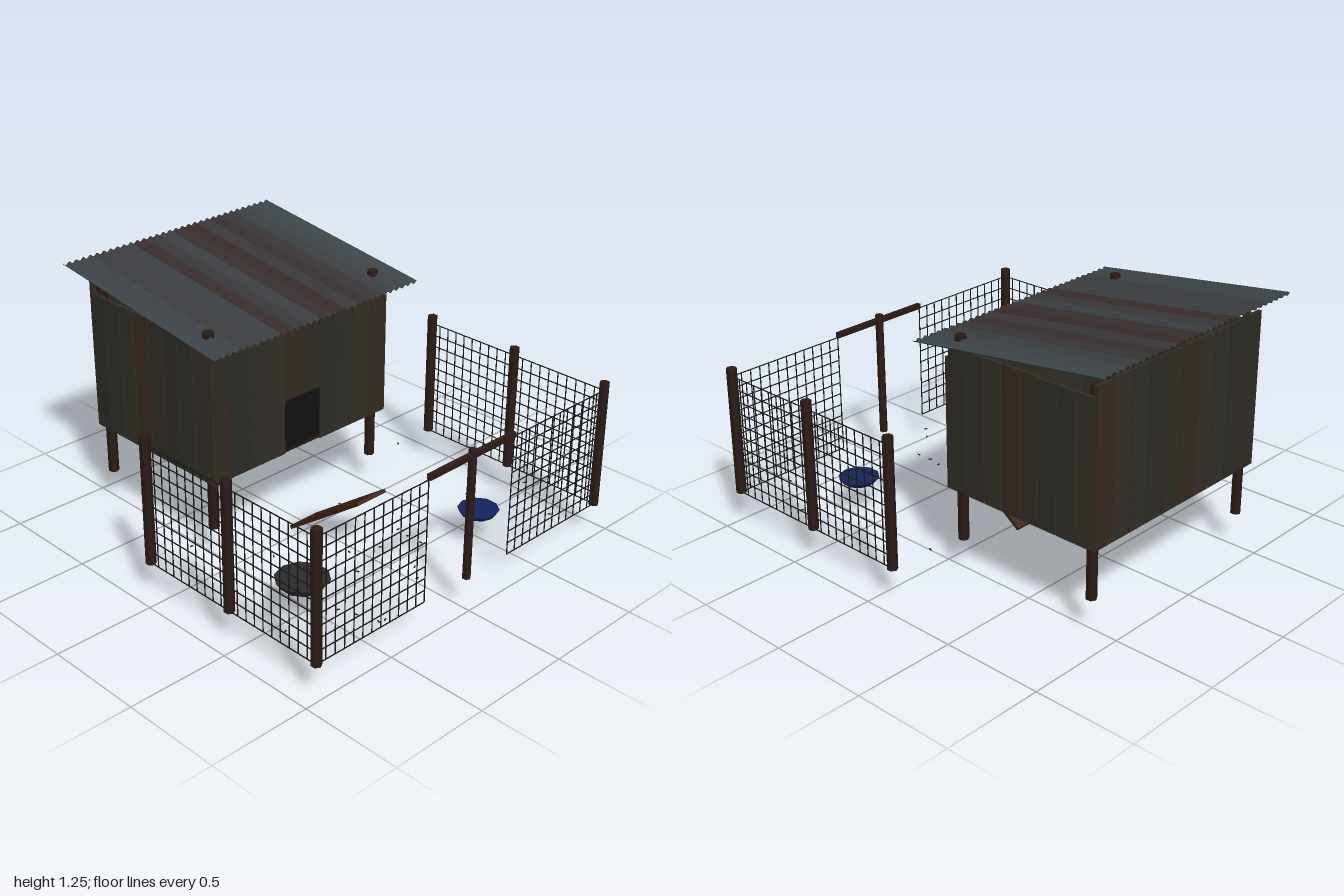
import * as THREE from 'three';
import { mergeGeometries } from 'three/addons/utils/BufferGeometryUtils.js';

const GROUND = 0.165;
const paint = (color, extra = {}) =>
  new THREE.MeshStandardMaterial({ color, flatShading: true, ...extra });

const WOOD = paint(0x2a1a13);
const RAMP = paint(0x3a2114);
const FLOOR = paint(0x2c1710);
const WIRE = paint(0x1a1a1a);
const DARK = paint(0x121212);
const SEED = paint(0x3a2f1c);
const PLANKS = [0x302c23, 0x2e2d27, 0x34291f, 0x2c2b25, 0x332e26].map((c) => paint(c));

function add(parent, name, geometry, material, x = 0, y = 0, z = 0) {
  const mesh = new THREE.Mesh(geometry, material);
  mesh.name = name;
  mesh.position.set(x, y, z);
  parent.add(mesh);
  return mesh;
}

function box(parent, name, material, w, h, d, x, y, z) {
  return add(parent, name, new THREE.BoxGeometry(w, h, d), material, x, y, z);
}

// Six-sided post standing on the ground
function post(parent, name, x, z, top, r) {
  const h = top - GROUND;
  add(parent, name, new THREE.CylinderGeometry(r, r, h, 6), WOOD, x, GROUND + h / 2, z);
}

// Row of upright planks; base(i) gives the lower edge of each
function plankWall(parent, name, count, width, top, base, gap) {
  const wall = new THREE.Group();
  wall.name = name;
  parent.add(wall);
  const pitch = width / count;
  for (let i = 0; i < count; i++) {
    const low = base(i);
    const high = top - 0.004 * ((i * 3) % 4) / 3;
    box(wall, 'plank', PLANKS[(i * 3 + count) % 5], pitch - gap, high - low, 0.018,
      -width / 2 + pitch * (i + 0.5), (low + high) / 2, 0);
  }
  return wall;
}

// Wire mesh between two points on the ground plan
function wirePanel(parent, name, x0, z0, x1, z1, columns) {
  const length = Math.hypot(x1 - x0, z1 - z0), height = 0.6, rows = 10, t = 0.004;
  const wires = [];
  for (let i = 0; i <= rows; i++) {
    wires.push(new THREE.BoxGeometry(length, t, t).translate(0, (height * i) / rows, 0));
  }
  for (let i = 0; i <= columns; i++) {
    wires.push(new THREE.BoxGeometry(t, height, t)
      .translate(length * (i / columns - 0.5), height / 2, 0));
  }
  const mesh = add(parent, name, mergeGeometries(wires), WIRE,
    (x0 + x1) / 2, GROUND + 0.001, (z0 + z1) / 2);
  mesh.rotation.y = -Math.atan2(z1 - z0, x1 - x0);
}

// Corrugated sheet, in strips that go from grey to rust
function buildRoof() {
  const roof = new THREE.Group();
  roof.name = 'roof';
  const strips = 16, width = 1.28, w = width / strips;
  const run = 1.055, rise = 0.137;
  const rust = [0.1, 0.2, 0.4, 0.35, 0.3, 0.75, 0.5, 0.3, 0.7, 0.8, 0.5, 0.7, 0.55, 0.3, 0.15, 0.05];
  const grey = new THREE.Color(0x3c464b), brown = new THREE.Color(0x35201a);
  for (let i = 0; i < strips; i++) {
    const g = new THREE.PlaneGeometry(w, run, 16, 1).rotateX(-Math.PI / 2);
    const p = g.attributes.position;
    for (let k = 0; k < p.count; k++) {
      const wave = 0.006 * Math.cos((p.getX(k) / w) * Math.PI * 4);
      p.setY(k, wave - (p.getZ(k) / run) * rise);
    }
    g.computeVertexNormals();
    const tint = grey.clone().lerp(brown, rust[i]);
    add(roof, 'roofStrip', g, paint(tint, { flatShading: false, side: THREE.DoubleSide }),
      -width / 2 + w * (i + 0.5), 1.179, -0.4725);
  }
  return roof;
}

function buildCoop() {
  const coop = new THREE.Group();
  coop.name = 'coop';
  const isDoor = (i) => i === 4 || i === 5;

  // Walls, with a doorway in the middle of the front
  plankWall(coop, 'frontWall', 10, 1.115, 1.055, (i) => (isDoor(i) ? 0.695 : 0.42), 0.002)
    .position.z = -0.071;
  plankWall(coop, 'backWall', 10, 1.115, 1.17, () => 0.42, 0.005).position.z = -0.907;
  for (const s of [-1, 1]) {
    const wall = plankWall(coop, s > 0 ? 'leftWall' : 'rightWall', 8, 0.83, 1.112, () => 0.42, 0.006);
    wall.position.set(s * 0.547, 0, -0.495);
    wall.rotation.y = (s * Math.PI) / 2;
  }
  box(coop, 'doorway', DARK, 0.235, 0.255, 0.012, 0, 0.567, -0.07);
  box(coop, 'floor', FLOOR, 1.1, 0.022, 0.83, 0, 0.431, -0.485);

  // Corner posts run from the ground to just above the roof at the front
  for (const x of [-0.515, 0.515]) {
    for (const z of [-0.117, -0.872]) post(coop, 'cornerPost', x, z, 1.155, 0.026);
  }
  coop.add(buildRoof());
  return coop;
}

function buildRun() {
  const run = new THREE.Group();
  run.name = 'run';
  const X = 0.918, back = -0.08, mid = 0.447, front = 0.975;
  for (const s of [-1, 1]) {
    for (const z of [back, mid, front]) post(run, 'fencePost', s * X, z, 0.808, 0.025);
    wirePanel(run, 'sideWire', s * X, back, s * X, mid, 10);
    wirePanel(run, 'sideWire', s * X, mid, s * X, front, 10);
    wirePanel(run, 'frontWire', s * 0.275, front, s * X, front, 12);
  }
  post(run, 'gatePost', 0, front, 0.808, 0.02);
  box(run, 'gateBar', WOOD, 0.55, 0.026, 0.022, 0, 0.778, front);
  return run;
}

// Shallow dish, wider at the rim
function bowl(name, color, r, h, x, z) {
  const mesh = new THREE.Mesh(new THREE.CylinderGeometry(r, r * 0.8, h, 10), paint(color));
  mesh.name = name;
  mesh.position.set(x, GROUND + h / 2, z);
  return mesh;
}

export function createModel() {
  const model = new THREE.Group();
  model.name = 'henHouse';
  model.add(buildCoop(), buildRun());

  // Sloping ramp board
  box(model, 'ramp', RAMP, 0.18, 0.018, 0.55, 0, 0.17, 0.17).rotation.x = -0.618;

  model.add(bowl('feedBowl', 0x2a2a2a, 0.127, 0.037, -0.553, 0.513));
  model.add(bowl('waterBowl', 0x14235c, 0.1, 0.026, 0.46, 0.65));

  // Scattered grain
  const grain = [
    [-0.7, -0.06], [-0.74, 0.16], [-0.36, 0.09], [-0.49, 0.26], [-0.85, 0.72], [-0.58, 0.76],
    [-0.55, 0.84], [-0.52, 0.94], [-0.49, 0.95], [-0.3, 0.59], [-0.31, 0.61], [-0.22, 0.47],
    [-0.1, 0.76], [-0.16, 0.83], [-0.09, 0.54], [0.05, 0.14], [-0.12, 0.13], [0.08, 0.49],
    [0.07, 0.56], [0.07, 0.64], [0.55, 0.5], [0.77, 0.37], [0.84, 0.62], [0.69, 0.89], [0.69, -0.08],
  ];
  grain.forEach(([x, z], i) => {
    box(model, 'grain', SEED, 0.016, 0.004, 0.006, x, GROUND + 0.002, z).rotation.y = i * 2.4;
  });
  return model;
}
